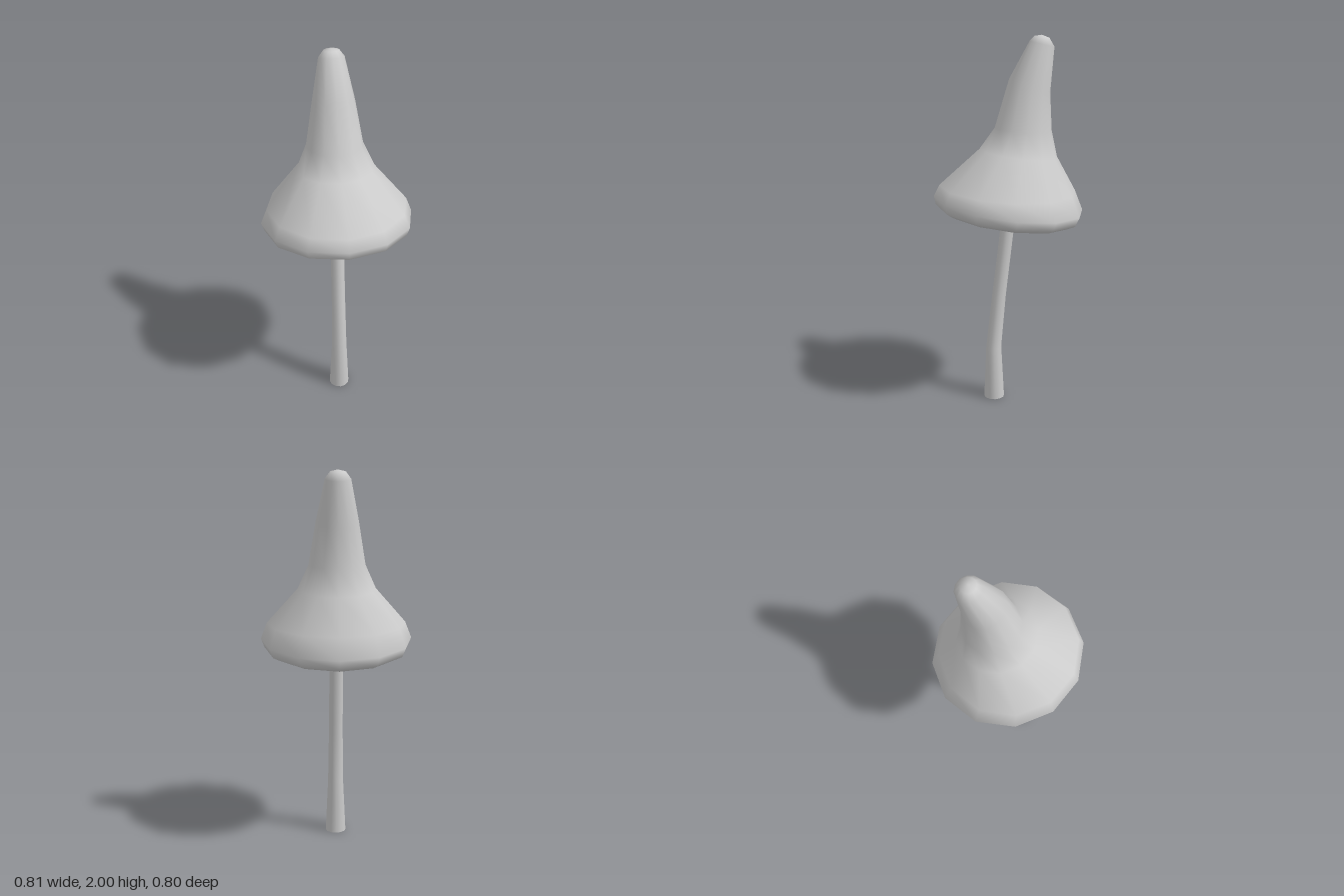
import * as THREE from 'three';
import { mergeVertices } from 'three/addons/utils/BufferGeometryUtils.js';

const SIDES = 12;
const material = new THREE.MeshStandardMaterial({ color: 0xcccccc });

// Skin through tilted rings, each [front z, front y, back z, back y, half width]
function loft(rings) {
  const positions = [], index = [];
  rings.forEach(([fz, fy, bz, by, w]) => {
    for (let j = 0; j < SIDES; j++) {
      const a = (j / SIDES) * Math.PI * 2, c = Math.cos(a) / 2;
      positions.push(w * Math.sin(a), (fy + by) / 2 + (fy - by) * c, (fz + bz) / 2 + (fz - bz) * c);
    }
  });
  for (let i = 0; i < rings.length - 1; i++) {
    for (let j = 0; j < SIDES; j++) {
      const k = (j + 1) % SIDES;
      const a = i * SIDES + j, b = i * SIDES + k, c = a + SIDES, d = b + SIDES;
      index.push(a, b, c, b, d, c);
    }
  }
  const raw = new THREE.BufferGeometry();
  raw.setAttribute('position', new THREE.Float32BufferAttribute(positions, 3));
  raw.setIndex(index);
  const geometry = mergeVertices(raw, 1e-5); // closes the poles
  geometry.computeVertexNormals();
  return geometry;
}

function addMesh(group, name, geometry) {
  const mesh = new THREE.Mesh(geometry, material);
  mesh.name = name;
  group.add(mesh);
  return mesh;
}

export function createModel() {
  const model = new THREE.Group();
  model.name = 'mushroom';

  // Cap: hollow underside, rolled lip, then the bent pointed crown
  addMesh(model, 'cap', loft([
    [-0.04, 1.33, -0.04, 1.33, 0],
    [0.10, 1.31, -0.17, 1.28, 0.135],
    [0.27, 1.20, -0.27, 1.13, 0.27],
    [0.31, 1.125, -0.295, 1.045, 0.30],
    [0.355, 1.10, -0.335, 1.01, 0.345],
    [0.39, 1.125, -0.375, 1.027, 0.385],
    [0.40, 1.17, -0.398, 1.075, 0.403],
    [0.37, 1.23, -0.355, 1.185, 0.37],
    [0.155, 1.42, -0.255, 1.37, 0.205],
    [0.075, 1.53, -0.225, 1.51, 0.148],
    [0, 1.78, -0.215, 1.71, 0.11],
    [-0.105, 1.97, -0.234, 1.94, 0.066],
    [-0.13, 1.995, -0.207, 1.985, 0.04],
    [-0.168, 2, -0.168, 2, 0],
  ]));

  // Stem: gently leaning back, flared at the foot; [y, centre z, radius]
  const stem = [
    [0, 0.085, 0.056], [0.3, 0.086, 0.042], [0.6, 0.056, 0.038],
    [0.85, 0.026, 0.037], [1.06, 0.002, 0.037], [1.34, -0.035, 0.037],
  ];
  addMesh(model, 'stem', loft(stem.map(([y, z, r]) => [z + r, y, z - r, y, r])));

  // Flat foot closing the stem
  const foot = addMesh(model, 'stemFoot', new THREE.CircleGeometry(stem[0][2], SIDES));
  foot.rotation.x = Math.PI / 2;
  foot.position.z = stem[0][1];

  return model;
}
